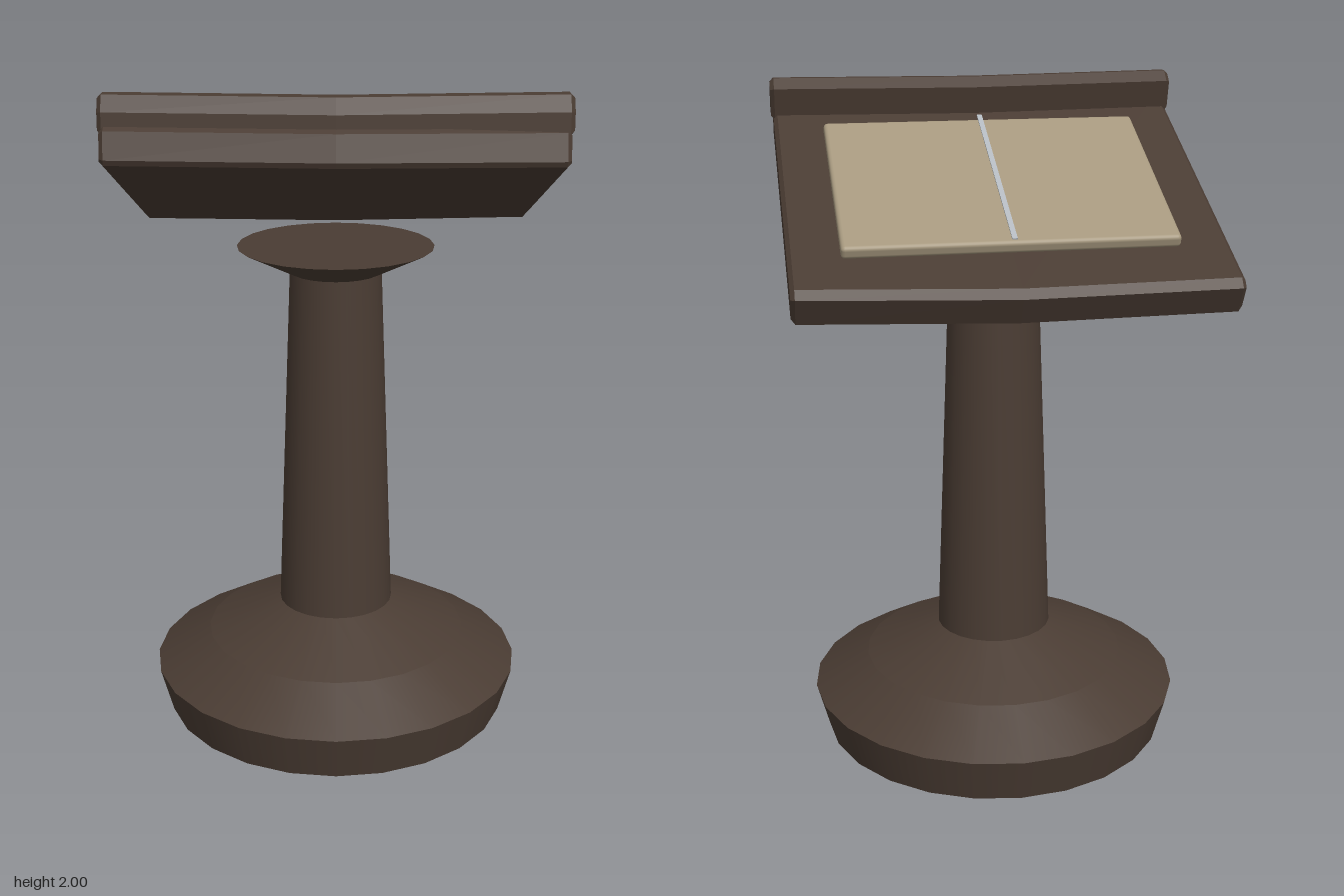
import * as THREE from 'three';
import { RoundedBoxGeometry } from 'three/addons/geometries/RoundedBoxGeometry.js';

const wood = new THREE.MeshStandardMaterial({ color: 0x4a3c33 });
wood.name = 'dark wood';
const paper = new THREE.MeshStandardMaterial({ color: 0xa6987e });
paper.name = 'aged paper';
const silver = new THREE.MeshStandardMaterial({ color: 0xb4bac0 });
silver.name = 'silver';

function part(name, geometry, material) {
  const mesh = new THREE.Mesh(geometry, material);
  mesh.name = name;
  return mesh;
}

// One smooth band of a turned profile; separate bands keep the edges between them crisp
function band(name, r0, y0, r1, y1, sides = 24) {
  const points = [new THREE.Vector2(r0, y0), new THREE.Vector2(r1, y1)];
  return part(name, new THREE.LatheGeometry(points, sides), wood);
}

// A moulding: [depth, height] profile run along x, with chamfered ends and a slight hand-made warp
function moulding(name, profile, width, skew) {
  const bevel = 0.012;
  const shape = new THREE.Shape(profile.map(([u, v]) => new THREE.Vector2(u, v)));
  const geometry = new THREE.ExtrudeGeometry(shape, {
    depth: width - 2 * bevel, steps: 2,
    bevelSize: bevel, bevelThickness: bevel, bevelOffset: -bevel, bevelSegments: 1,
  });
  geometry.translate(0, 0, bevel - width / 2);
  geometry.rotateY(-Math.PI / 2);
  const p = geometry.attributes.position;
  for (let i = 0; i < p.count; i++) {
    const t = p.getX(i) / (width / 2);
    p.setY(i, p.getY(i) - 0.008 * (1 - Math.abs(t)));
    p.setZ(i, p.getZ(i) * (1 - skew * Math.max(0, t)));
  }
  geometry.computeVertexNormals();
  return part(name, geometry, wood);
}

export function createModel() {
  const model = new THREE.Group();
  model.name = 'lectern';

  // Turned foot
  const foot = new THREE.Group();
  foot.name = 'foot';
  foot.add(
    band('footUnderside', 0, 0, 0.535, 0),
    band('footRim', 0.535, 0, 0.573, 0.14),
    band('footLowerSlope', 0.573, 0.14, 0.405, 0.24),
    band('footUpperSlope', 0.405, 0.24, 0.175, 0.34),
  );

  // Tapering post and flared collar
  const column = new THREE.Group();
  column.name = 'column';
  column.add(
    band('post', 0.177, 0.34, 0.138, 1.41),
    band('collarFlare', 0.138, 1.41, 0.295, 1.488),
    band('collarTop', 0.295, 1.488, 0, 1.488),
  );

  // Sloping desk, high at the front
  const desk = new THREE.Group();
  desk.name = 'desk';
  desk.position.y = 1.69;
  desk.rotation.x = -THREE.MathUtils.degToRad(20);
  desk.add(moulding('board', [
    [-0.535, -0.05], [0.54, -0.05], [0.552, -0.038], [0.555, 0.038],
    [0.543, 0.052], [-0.518, 0.052], [-0.547, 0.035],
  ], 1.24, 0.05));
  desk.add(moulding('ledge', [
    [0.45, 0.035], [0.525, 0.035], [0.541, 0.09], [0.535, 0.138],
    [0.502, 0.152], [0.461, 0.136],
  ], 1.255, 0));

  // Open book and its marker
  const book = part('book', new RoundedBoxGeometry(0.95, 0.038, 0.695, 2, 0.012), paper);
  book.position.set(0, 0.069, -0.012);
  const marker = part('bookMarker', new THREE.BoxGeometry(0.015, 0.004, 0.695), silver);
  marker.position.set(0, 0.102, -0.016);
  desk.add(book, marker);

  model.add(foot, column, desk);
  return model;
}
